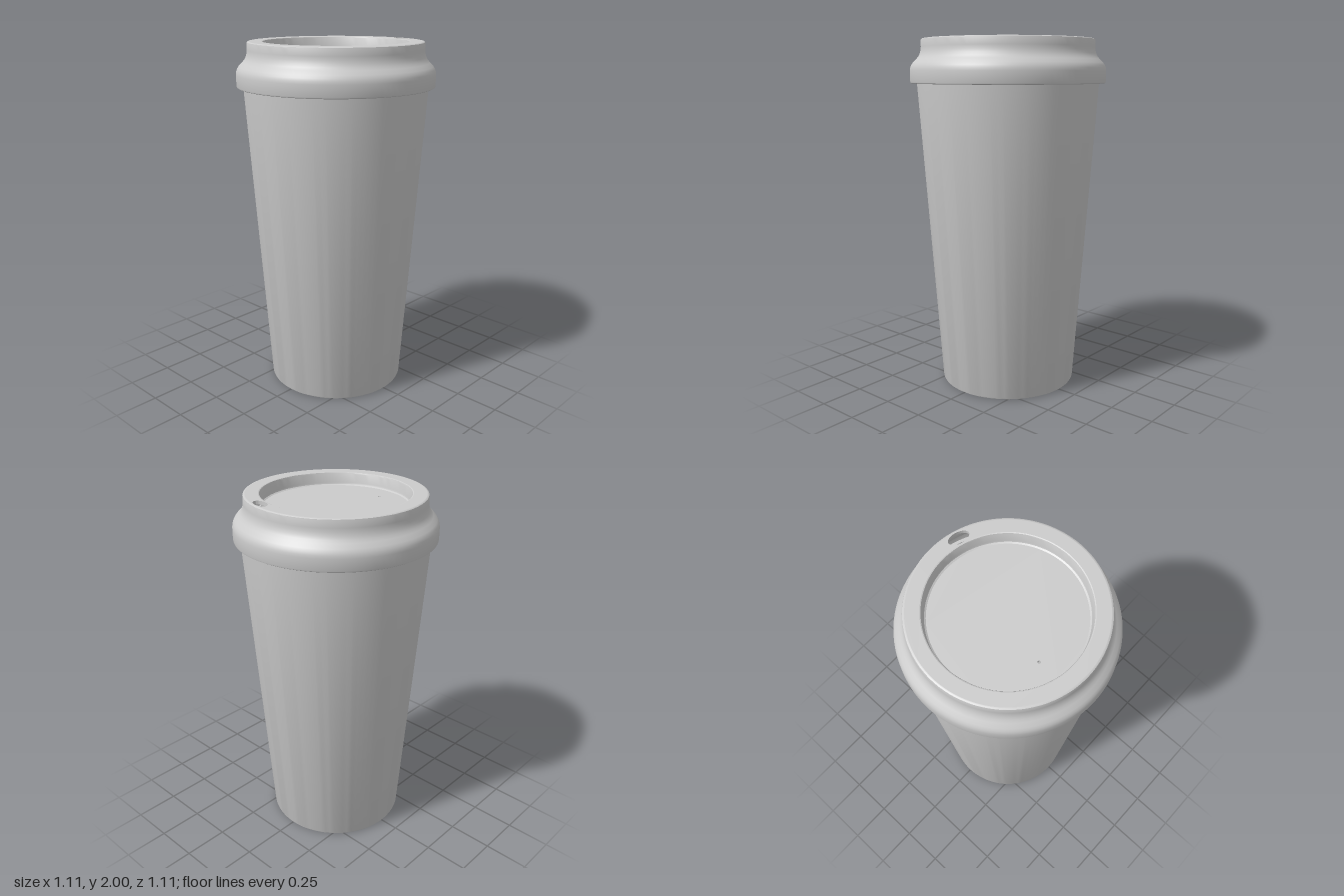
import * as THREE from 'three';
import { toCreasedNormals } from 'three/addons/utils/BufferGeometryUtils.js';

const SEGMENTS = 96;

export function createModel() {
  const group = new THREE.Group();
  const material = new THREE.MeshStandardMaterial({ color: 0xcccccc, side: THREE.DoubleSide });

  const add = (name, geometry) => {
    const mesh = new THREE.Mesh(geometry, material);
    mesh.name = name;
    group.add(mesh);
    return mesh;
  };

  // Turned part from [radius, height] points, with crisp edges kept
  const turned = (name, points) => {
    const profile = points.map(([r, y]) => new THREE.Vector2(r, y));
    return add(name, toCreasedNormals(new THREE.LatheGeometry(profile, SEGMENTS), 0.6));
  };

  // Horizontal plate whose top face lies at the given height
  const plate = (name, shape, top, thickness) => {
    const geometry = new THREE.ExtrudeGeometry(shape, {
      depth: thickness, bevelEnabled: false, curveSegments: SEGMENTS / 2,
    });
    geometry.rotateX(-Math.PI / 2).translate(0, top - thickness, 0);
    return add(name, toCreasedNormals(geometry, 0.6));
  };

  const disc = (radius) => new THREE.Shape().absarc(0, 0, radius, 0, Math.PI * 2, false);
  const hole = (x, z, rx, ry, turn) =>
    new THREE.Path().absellipse(x, -z, rx, ry, 0, Math.PI * 2, true, turn);

  // Hollow tapered cup with a recessed base
  turned('cup', [
    [0, 0.02], [0.335, 0.02], [0.335, 0], [0.384, 0], [0.39, 0.003], [0.393, 0.01],
    [0.516, 1.755], [0.521, 1.84], [0.505, 1.84], [0.5, 1.755], [0.375, 0.04], [0, 0.04],
  ]);

  // Lid skirt, bulge and neck
  turned('lidShell', [
    [0.521, 1.84], [0.53, 1.82], [0.53, 1.755], [0.546, 1.755], [0.551, 1.758], [0.553, 1.764],
    [0.553, 1.825], [0.551, 1.84], [0.546, 1.854], [0.537, 1.868], [0.517, 1.888],
    [0.505, 1.902], [0.497, 1.918], [0.492, 1.936], [0.49, 1.955],
    [0.49, 1.99], [0.488, 1.996], [0.484, 1.999], [0.478, 2],
  ]);

  // Raised rim with the slanted oval sip opening
  const rim = disc(0.478);
  rim.holes.push(new THREE.Path().absarc(0, 0, 0.408, 0, Math.PI * 2, true));
  rim.holes.push(hole(0.428, 0.116, 0.031, 0.057, -0.262));
  plate('lidRim', rim, 2, 0.02);

  // Rounded wall down to the sunken lid floor
  turned('lidRecessWall', [
    [0.408, 2], [0.403, 1.998], [0.4, 1.992], [0.397, 1.943], [0.394, 1.935], [0.386, 1.93],
  ]);

  // Sunken floor with a tiny vent hole
  const floor = disc(0.386);
  floor.holes.push(hole(-0.265, -0.077, 0.008, 0.008, 0));
  plate('lidFloor', floor, 1.93, 0.02);

  return group;
}
